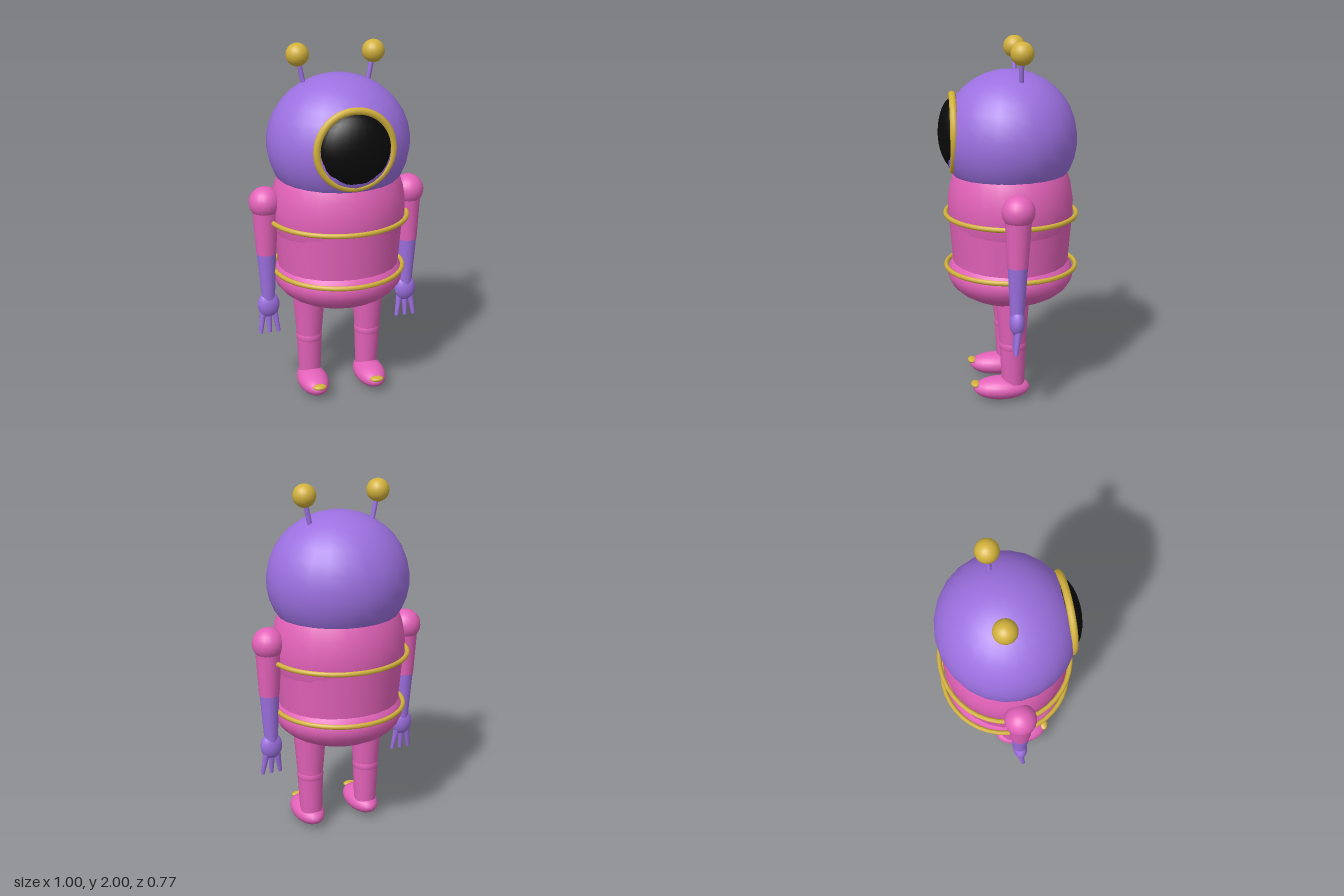
import * as THREE from 'three';

const material = (name, color) => {
  const m = new THREE.MeshStandardMaterial({ color });
  m.name = name;
  return m;
};

export function createModel() {
  const pink = material('pink', 0xe362b9);
  const purple = material('purple', 0x9c70e0);
  const gold = material('gold', 0xd2b13c);
  const black = material('black', 0x0a0a0a);
  const model = new THREE.Group();
  model.name = 'alienFigure';

  const add = (parent, name, geometry, mat, x, y, z) => {
    const mesh = new THREE.Mesh(geometry, mat);
    mesh.name = name;
    mesh.position.set(x, y, z);
    parent.add(mesh);
    return mesh;
  };
  const ellipsoid = (parent, name, mat, x, y, z, rx, ry, rz, seg = 20) =>
    add(parent, name, new THREE.SphereGeometry(1, seg, Math.ceil(seg * 0.7)).scale(rx, ry, rz), mat, x, y, z);

  // Tapered rod running from point a to point b
  const rod = (parent, name, mat, a, b, ra, rb, seg = 16) => {
    const start = new THREE.Vector3(...a), end = new THREE.Vector3(...b);
    const dir = end.clone().sub(start);
    const mid = start.add(end).multiplyScalar(0.5);
    const mesh = add(parent, name, new THREE.CylinderGeometry(rb, ra, dir.length(), seg), mat, mid.x, mid.y, mid.z);
    mesh.quaternion.setFromUnitVectors(new THREE.Vector3(0, 1, 0), dir.normalize());
    return mesh;
  };

  // Head with round visor
  ellipsoid(model, 'head', purple, 0, 1.47, 0, 0.393, 0.37, 0.37, 24);
  ellipsoid(model, 'visor', black, 0, 1.5, 0.29, 0.2, 0.2, 0.1, 24);
  add(model, 'visorRing', new THREE.TorusGeometry(0.205, 0.02, 10, 40), gold, 0, 1.5, 0.31);

  // Torso: chest, tapered waist and rounded hips
  ellipsoid(model, 'chest', pink, 0, 1.1, -0.005, 0.375, 0.42, 0.348, 24);
  add(model, 'waist', new THREE.CylinderGeometry(0.366, 0.338, 0.34, 24).scale(1, 1, 0.945), pink, 0, 0.91, -0.005);
  ellipsoid(model, 'hips', pink, 0, 0.71, -0.005, 0.365, 0.18, 0.352, 24);

  // Gold bands around the torso
  for (const [name, y, rx] of [['upperBand', 1.05, 0.387], ['lowerBand', 0.75, 0.365]]) {
    add(model, name, new THREE.TorusGeometry(1, 0.035, 8, 40).rotateX(Math.PI / 2)
      .scale(rx, 0.4, 0.363), gold, 0, y, -0.007);
  }

  for (const [side, s] of [['left', 1], ['right', -1]]) {
    // Antenna
    const antenna = new THREE.Group();
    antenna.name = side + 'Antenna';
    rod(antenna, 'antennaStem', purple, [s * 0.175, 1.76, -0.045], [s * 0.207, 1.92, -0.045], 0.013, 0.013, 10);
    ellipsoid(antenna, 'antennaBall', gold, s * 0.21, 1.94, -0.047, 0.062, 0.062, 0.062);
    model.add(antenna);

    // Arm and three-fingered hand
    const arm = new THREE.Group();
    arm.name = side + 'Arm';
    ellipsoid(arm, 'shoulder', pink, s * 0.413, 1.155, -0.008, 0.088, 0.088, 0.088);
    rod(arm, 'upperArm', pink, [s * 0.413, 1.15, -0.008], [s * 0.413, 0.86, -0.005], 0.073, 0.056);
    rod(arm, 'forearm', purple, [s * 0.413, 0.865, -0.005], [s * 0.408, 0.58, -0.003], 0.054, 0.037);
    ellipsoid(arm, 'hand', purple, s * 0.408, 0.55, -0.003, 0.063, 0.076, 0.042, 16);
    for (const f of [-1, 0, 1]) {
      rod(arm, 'finger', purple, [s * 0.408 + f * 0.03, 0.52, -0.008], [s * 0.408 + f * 0.052, 0.38, 0.008], 0.02, 0.011, 10);
    }
    model.add(arm);

    // Leg with knee, foot and toenail
    const leg = new THREE.Group();
    leg.name = side + 'Leg';
    rod(leg, 'thigh', pink, [s * 0.175, 0.66, 0], [s * 0.175, 0.33, -0.002], 0.098, 0.072);
    ellipsoid(leg, 'knee', pink, s * 0.175, 0.33, -0.002, 0.076, 0.07, 0.076, 16);
    rod(leg, 'shin', pink, [s * 0.175, 0.33, -0.002], [s * 0.172, 0.07, -0.005], 0.074, 0.062);
    ellipsoid(leg, 'foot', pink, s * 0.172, 0.068, 0.06, 0.088, 0.064, 0.16);
    ellipsoid(leg, 'toenail', gold, s * 0.17, 0.093, 0.208, 0.04, 0.015, 0.026, 14);
    model.add(leg);
  }
  return model;
}
